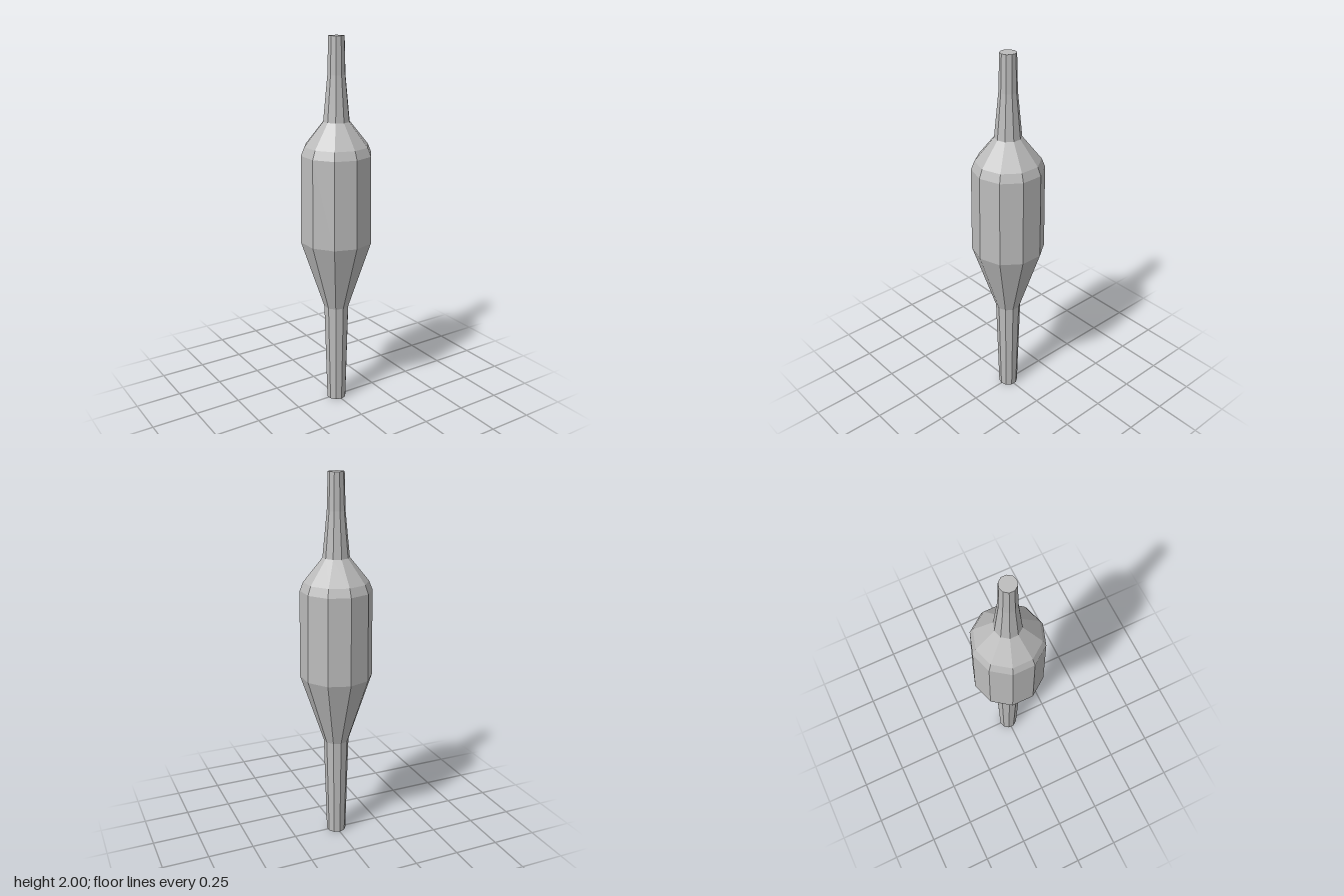
import * as THREE from 'three';

const SIDES = 10;

export function createModel() {
  const model = new THREE.Group();
  model.name = 'spindle';
  const gray = new THREE.MeshStandardMaterial({ color: 0xbcbcbc, flatShading: true });
  gray.name = 'gray';

  // Each part turns a [radius, height] profile, listed from bottom to top
  const turn = (name, profile) => {
    const points = profile.map(([r, y]) => new THREE.Vector2(r, y));
    const mesh = new THREE.Mesh(new THREE.LatheGeometry(points, SIDES), gray);
    mesh.name = name;
    model.add(mesh);
  };

  // Slightly flaring stem with a closed foot
  turn('lowerStem', [[0, 0], [0.053, 0], [0.068, 0.56]]);
  // Long lower taper, near-straight barrel and bevelled shoulder
  turn('body', [[0.068, 0.56], [0.194, 0.94], [0.188, 1.405], [0.17, 1.45], [0.07, 1.575]]);
  // Neck narrowing in two steps to a flat tip
  turn('neck', [[0.07, 1.575], [0.047, 1.81], [0.042, 2], [0, 2]]);

  return model;
}
